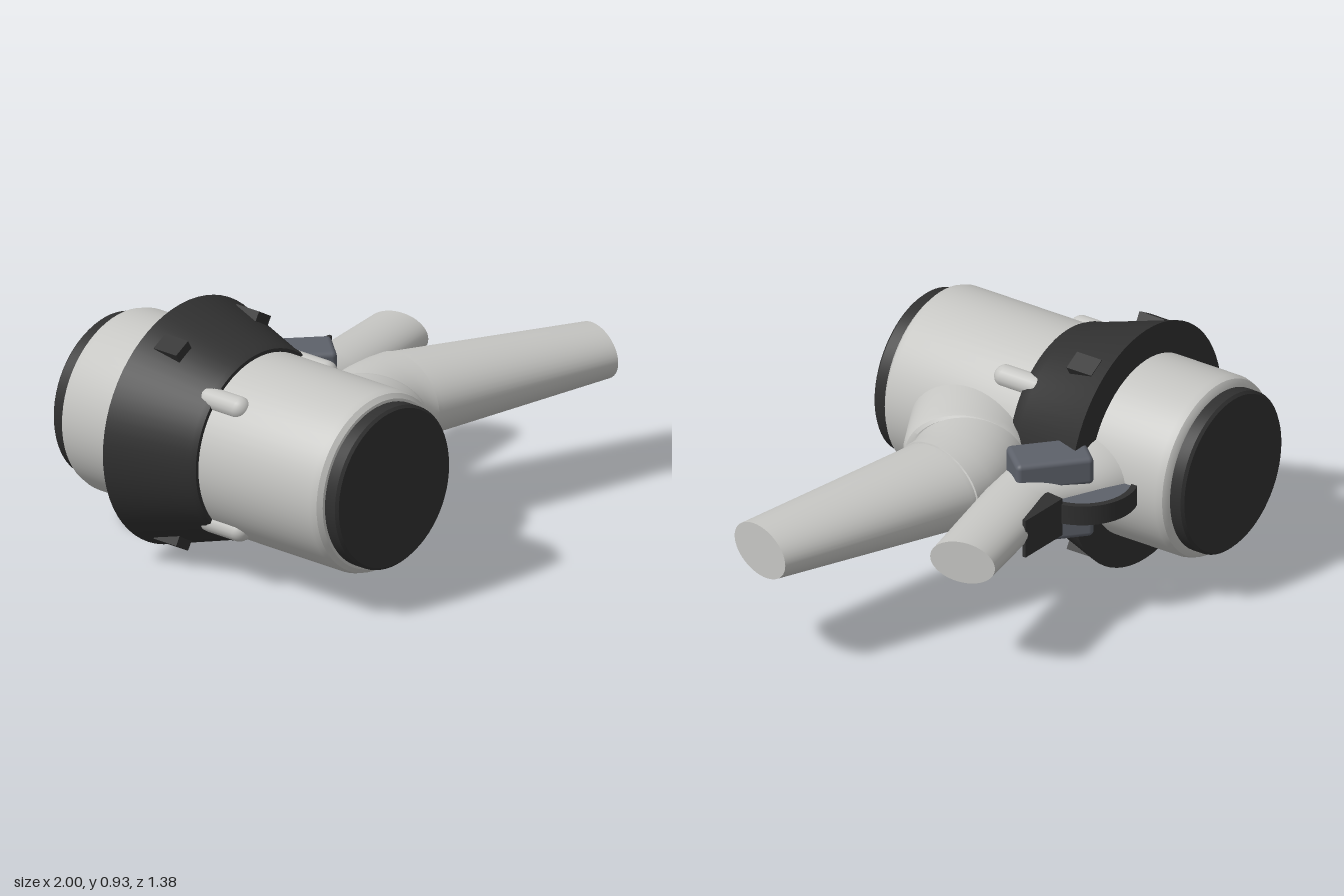
import * as THREE from 'three';
import { toCreasedNormals } from 'three/addons/utils/BufferGeometryUtils.js';
import { RoundedBoxGeometry } from 'three/addons/geometries/RoundedBoxGeometry.js';

const X = -0.535, Y = 0.472; // axis of the main cylinder

const makeMaterial = (name, color) => {
  const m = new THREE.MeshStandardMaterial({ color });
  m.name = name;
  return m;
};

// Surface of revolution around the z axis; profile is [radius, z], rear to front
function turned(profile) {
  const g = new THREE.LatheGeometry(profile.map(([r, z]) => new THREE.Vector2(r, z)), 64);
  g.rotateX(Math.PI / 2);
  return toCreasedNormals(g, 0.5);
}

// Oval tube through sections [rear x, rear z, front x, front z, half height]
function loft(sections, n = 48) {
  const pos = [], idx = [];
  for (const [x0, z0, x1, z1, h] of sections) {
    for (let j = 0; j < n; j++) {
      const a = (j / n) * Math.PI * 2, c = Math.cos(a) / 2;
      pos.push((x0 + x1) / 2 + c * (x1 - x0), Y + h * Math.sin(a), (z0 + z1) / 2 + c * (z1 - z0));
    }
  }
  for (let i = 0; i < sections.length - 1; i++) {
    for (let j = 0; j < n; j++) {
      const k = (j + 1) % n, a = i * n + j, b = i * n + k;
      idx.push(a, a + n, b, b, a + n, b + n);
    }
  }
  const [x0, z0, x1, z1] = sections.at(-1), base = (sections.length - 1) * n;
  pos.push((x0 + x1) / 2, Y, (z0 + z1) / 2);
  for (let j = 0; j < n; j++) idx.push(base + n, base + (j + 1) % n, base + j);
  const g = new THREE.BufferGeometry();
  g.setAttribute('position', new THREE.Float32BufferAttribute(pos, 3));
  g.setIndex(idx);
  return toCreasedNormals(g, 0.5);
}

// Flat plate with a plan outline in (x, -z), spanning two heights
function plate(shape, low, high) {
  const g = new THREE.ExtrudeGeometry(shape, { depth: high - low, bevelEnabled: false, curveSegments: 28 });
  g.rotateX(-Math.PI / 2);
  g.translate(0, low, 0);
  return toCreasedNormals(g, 0.5);
}

export function createModel() {
  const group = new THREE.Group();
  const light = makeMaterial('light grey', 0xc6c6c3);
  const dark = makeMaterial('charcoal', 0x303030);
  const steel = makeMaterial('steel grey', 0x5d616a);

  const add = (name, geometry, material, x = 0, y = 0, z = 0) => {
    const m = new THREE.Mesh(geometry, material);
    m.name = name;
    m.position.set(x, y, z);
    group.add(m);
    return m;
  };

  // Main cylinder with rounded rims
  add('mainCylinder', turned([
    [0, -0.64], [0.30, -0.64], [0.32, -0.636], [0.337, -0.622], [0.345, -0.595],
    [0.345, 0.59], [0.337, 0.615], [0.32, 0.63], [0.30, 0.634], [0, 0.634],
  ]), light, X, Y);

  // Dark end caps
  for (const [name, z] of [['rearCap', -0.655], ['frontCap', 0.65]]) {
    add(name, turned([
      [0, -0.04], [0.3, -0.04], [0.31, -0.03], [0.31, 0.03], [0.3, 0.04], [0, 0.04],
    ]), dark, X, Y, z);
  }

  // Flared collar
  add('collar', turned([
    [0.33, -0.307], [0.467, -0.307], [0.372, 0.0], [0.368, 0.025], [0.358, 0.047], [0.33, 0.05],
  ]), dark, X, Y);

  // Four rounded nubs in front of the collar, four wedges on it
  for (const sx of [-1, 1]) {
    for (const sy of [-1, 1]) {
      const nub = new THREE.CapsuleGeometry(0.043, 0.14, 8, 16);
      nub.rotateX(Math.PI / 2);
      add('bodyNub', nub, light, X + sx * 0.235, Y + sy * 0.238, 0.08);

      const a = Math.PI / 3;
      const wedge = add('collarWedge', new THREE.BoxGeometry(0.075, 0.06, 0.11), dark,
        X + sx * 0.421 * Math.cos(a), Y + sy * 0.421 * Math.sin(a), -0.193);
      wedge.rotation.z = Math.atan2(sy * Math.sin(a), sx * Math.cos(a)) - Math.PI / 2;
    }
  }

  // Front branch: root flange, elbow and tapering arm
  add('frontBranchRoot', loft([
    [-0.48, 0.1, -0.22, 0.515, 0.185],
    [-0.2, -0.03, 0.01, 0.385, 0.175],
    [-0.17, -0.035, 0.025, 0.365, 0.168],
    [-0.165, -0.035, 0.025, 0.345, 0.16],
  ]), light);
  add('frontElbow', loft([
    [-0.2, -0.02, 0.0, 0.345, 0.163],
    [-0.09, -0.07, 0.045, 0.33, 0.163],
    [0.02, -0.093, 0.07, 0.325, 0.16],
    [0.12, -0.102, 0.095, 0.326, 0.158],
    [0.212, -0.098, 0.115, 0.33, 0.156],
    [0.214, -0.092, 0.118, 0.324, 0.15],
  ]), light);
  add('frontArm', loft([
    [0.2, -0.093, 0.105, 0.324, 0.15],
    [0.235, -0.09, 0.14, 0.328, 0.15],
    [0.995, 0.2, 0.91, 0.488, 0.1],
  ]), light);

  // Rear branch
  add('rearArm', loft([
    [-0.35, -0.5, -0.35, -0.01, 0.165],
    [-0.2, -0.47, -0.2, -0.02, 0.155],
    [-0.11, -0.42, -0.09, -0.04, 0.13],
    [0.0, -0.35, 0.03, -0.055, 0.1],
    [0.1, -0.335, 0.16, -0.075, 0.092],
    [0.57, -0.43, 0.625, -0.18, 0.082],
  ]), light);

  // Clamp jaws above and below the rear arm
  for (const [name, y, h] of [['upperJaw', 0.577, 0.11], ['lowerJaw', 0.352, 0.085]]) {
    const jaw = add(name, new RoundedBoxGeometry(0.29, h, 0.18, 3, 0.02), steel, -0.04, y, -0.235);
    jaw.rotation.y = -0.71;
  }

  // Curved lever: backing plate, steel inlay, raised rim and grip
  const cx = -0.11, cz = 0.33, sweep = Math.PI * 0.72;
  const sector = r => {
    const s = new THREE.Shape();
    s.moveTo(cx, cz);
    s.absarc(cx, cz, r, 0, sweep, false);
    s.closePath();
    return s;
  };
  const rim = new THREE.Shape();
  rim.absarc(cx, cz, 0.202, 0, sweep, false);
  rim.absarc(cx, cz, 0.178, sweep, 0, true);
  rim.closePath();
  add('leverPlate', plate(sector(0.2), 0.438, 0.475), dark);
  add('leverInlay', plate(sector(0.18), 0.475, 0.505), steel);
  add('leverRim', plate(rim, 0.435, 0.512), dark);

  const grip = new THREE.Shape([
    [0.07, 0.3], [0.12, 0.31], [0.22, 0.337], [0.3, 0.358], [0.3, 0.372], [0.08, 0.378],
  ].map(([x, y]) => new THREE.Vector2(x, y)));
  add('leverGrip', plate(grip, 0.385, 0.535), dark);

  return group;
}
